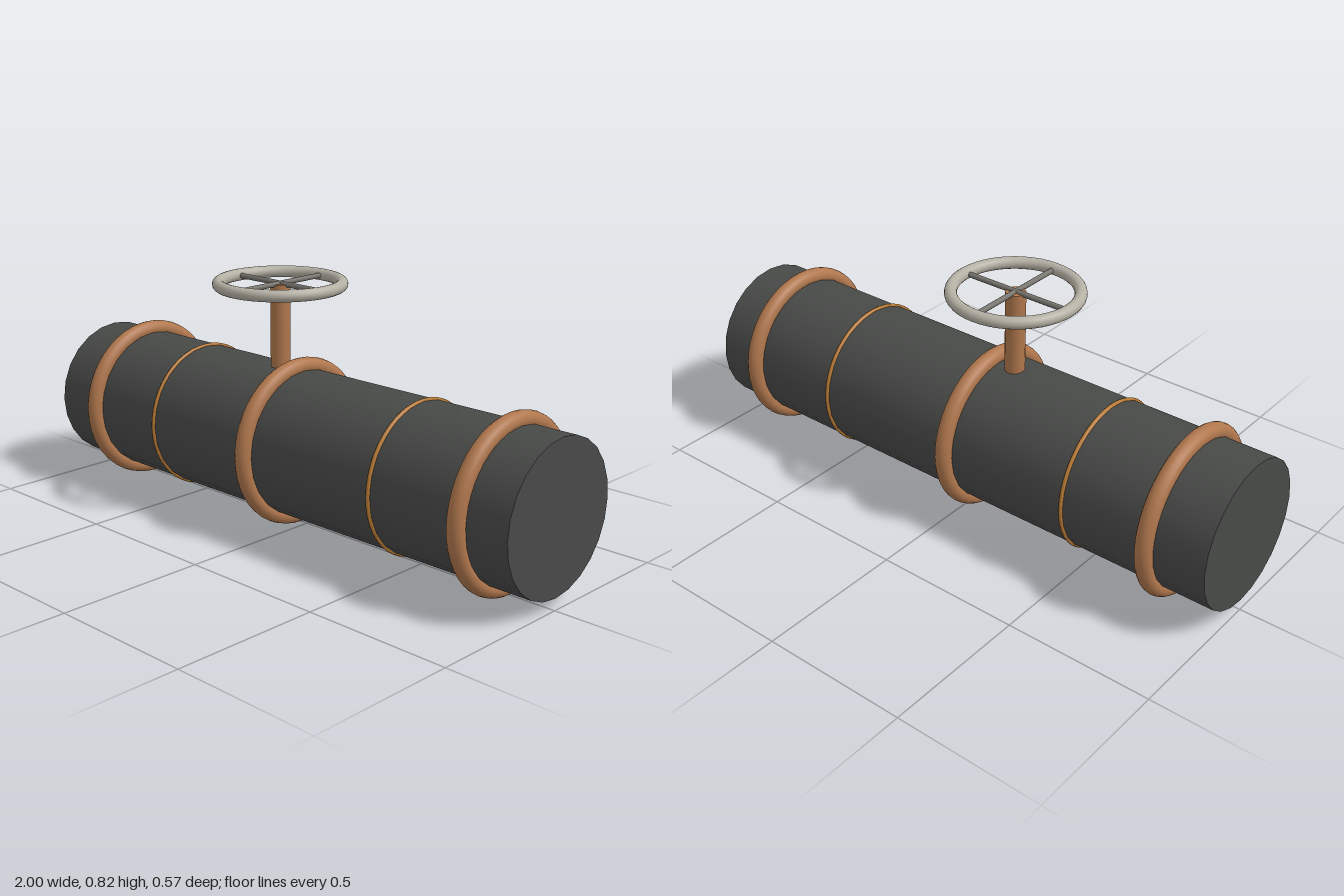
import * as THREE from 'three';

const material = (color) => new THREE.MeshStandardMaterial({ color });

export function createModel() {
  const model = new THREE.Group();
  model.name = 'pipeWithValve';
  const dark = material(0x484a48);
  const copper = material(0xb0774d);
  const brass = material(0xb87a35);
  const steel = material(0xb5b0a4);
  const spokeGrey = material(0x77746e);
  const axisY = 0.284;

  const add = (name, geometry, mat, x, y, parent = model) => {
    const mesh = new THREE.Mesh(geometry, mat);
    mesh.name = name;
    mesh.position.set(x, y, 0);
    parent.add(mesh);
    return mesh;
  };

  // Main pipe lying along x, closed at both ends
  add('pipe', new THREE.CylinderGeometry(0.245, 0.245, 2, 24).rotateZ(Math.PI / 2), dark, 0, axisY);

  // Thick collars
  const collar = new THREE.TorusGeometry(0.255, 0.028, 16, 48).rotateY(Math.PI / 2);
  for (const x of [-0.8, -0.036, 0.83]) add('collar', collar, copper, x, axisY);

  // Thin seam bands
  const band = new THREE.TorusGeometry(0.245, 0.007, 8, 48).rotateY(Math.PI / 2);
  for (const x of [-0.493, 0.49]) add('seamBand', band, brass, x, axisY);

  // Valve stem
  const wheelX = -0.122, wheelY = 0.803;
  const stemBottom = 0.45;
  add('valveStem', new THREE.CylinderGeometry(0.033, 0.033, wheelY - stemBottom, 20),
    copper, wheelX, (wheelY + stemBottom) / 2);

  // Hand wheel: rim and two crossing spokes
  const wheel = new THREE.Group();
  wheel.name = 'handWheel';
  wheel.position.set(wheelX, wheelY, 0);
  model.add(wheel);
  add('rim', new THREE.TorusGeometry(0.202, 0.02, 16, 48).rotateX(Math.PI / 2), steel, 0, 0, wheel);
  for (const turn of [0, Math.PI / 2]) {
    const spoke = new THREE.CylinderGeometry(0.009, 0.009, 0.4, 12).rotateZ(Math.PI / 2).rotateY(turn);
    add('spoke', spoke, spokeGrey, 0, 0, wheel);
  }
  return model;
}
